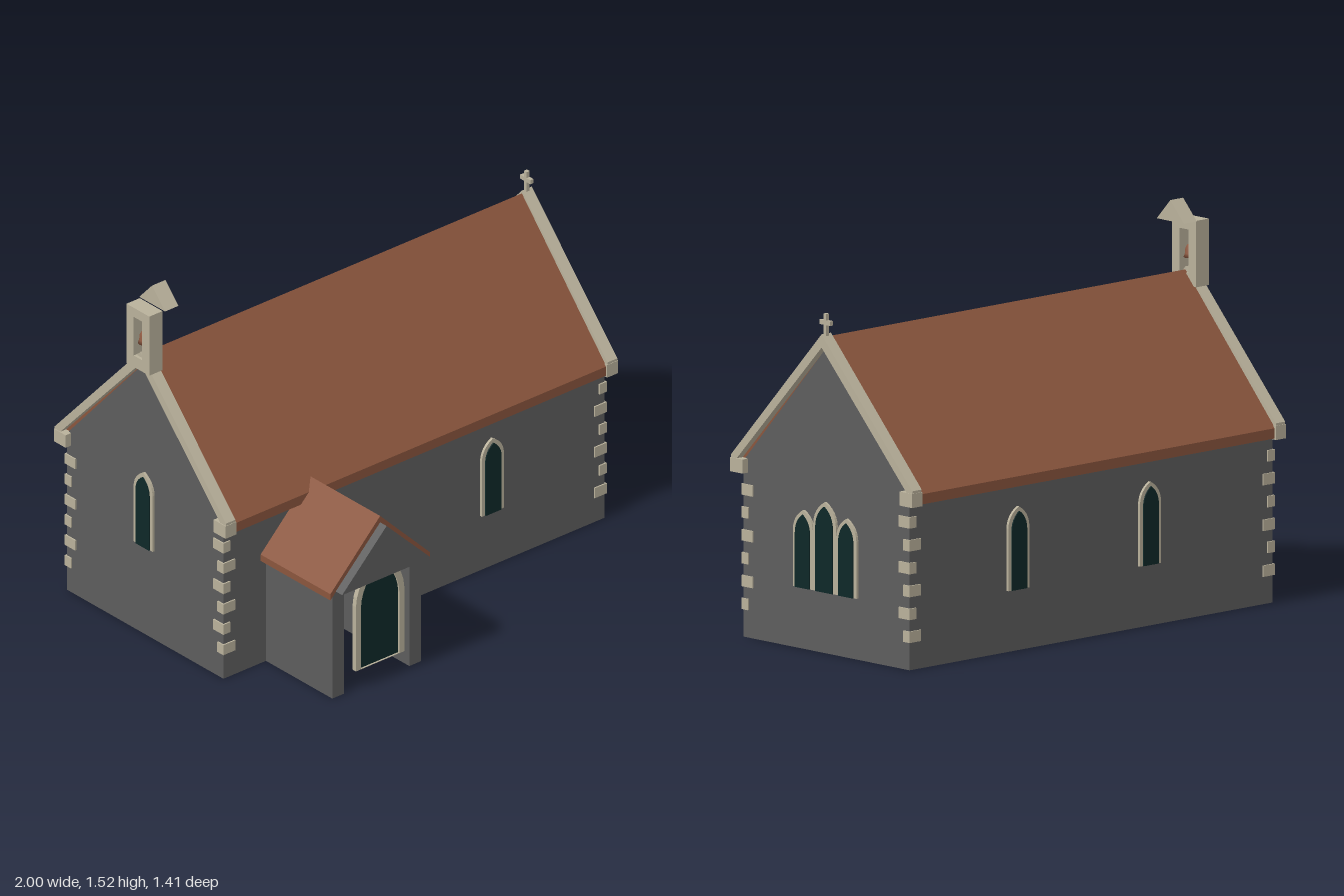
import * as THREE from 'three';

const mat = (name, color) => {
  const m = new THREE.MeshStandardMaterial({ color });
  m.name = name;
  return m;
};

export function createModel() {
  const root = new THREE.Group();
  root.name = 'chapel';
  const wall = mat('grey wall', 0x5d5d5d);
  const tile = mat('roof tile', 0x8a553d);
  const stone = mat('pale stone', 0xb9b19b);
  const glass = mat('dark glass', 0x0e2828);
  const copper = mat('bell copper', 0x8f5a42);

  const add = (name, geo, material, parent = root) => {
    const mesh = new THREE.Mesh(geo, material);
    mesh.name = name;
    parent.add(mesh);
    return mesh;
  };
  // Box given by its limits on each axis
  const box = (name, material, x0, x1, y0, y1, z0, z1, parent = root) => {
    const b = add(name, new THREE.BoxGeometry(x1 - x0, y1 - y0, z1 - z0), material, parent);
    b.position.set((x0 + x1) / 2, (y0 + y1) / 2, (z0 + z1) / 2);
    return b;
  };
  const polygon = (pts) => new THREE.Shape(pts.map(([x, y]) => new THREE.Vector2(x, y)));
  const extrude = (shape, depth) =>
    new THREE.ExtrudeGeometry(shape, { depth, bevelEnabled: false, curveSegments: 6 });
  const CZ = -0.2;
  // Symmetric profile across the nave, run from x0 to x1
  const alongX = (name, shape, material, x0, x1) => {
    const m = add(name, extrude(shape, x1 - x0).rotateY(Math.PI / 2), material);
    m.position.set(x0, 0, CZ);
    return m;
  };
  // Bent slab: apex and eave on top, eave and apex underneath
  const chevron = (half, top, eave, eaveLow, topLow) => polygon([
    [0, top], [-half, eave], [-half, eaveLow], [0, topLow], [half, eaveLow], [half, eave],
  ]);

  // Nave walls and roof
  alongX('naveWalls', polygon([[-0.46, 0], [0.46, 0], [0.46, 0.69], [0, 1.197], [-0.46, 0.69]]),
    wall, -0.96, 0.97);
  alongX('naveRoof', chevron(0.497, 1.24, 0.69, 0.65, 1.198), tile, -0.955, 0.965);

  // Gable copings with kneeler stones
  for (const [x0, x1] of [[-0.985, -0.937], [0.947, 0.997]]) {
    alongX('gableCoping', chevron(0.503, 1.252, 0.71, 0.665, 1.2), stone, x0, x1);
    for (const s of [-1, 1]) {
      const z = CZ + s * 0.47;
      box('kneeler', stone, x0 - 0.003, x1 + 0.003, 0.645, 0.7, z - 0.035, z + 0.035);
    }
  }

  // Corner quoins, alternating long and short on each face
  for (const [cx, sx] of [[-0.96, -1], [0.97, 1]]) {
    for (const sz of [-1, 1]) {
      for (let i = 0; i < 6; i++) {
        const y = 0.13 + i * 0.0895;
        const lx = i % 2 ? 0.03 : 0.055;
        const lz = i % 2 ? 0.055 : 0.03;
        const cz = CZ + sz * 0.46;
        const xs = [cx + sx * 0.006, cx - sx * lx].sort((a, b) => a - b);
        const zs = [cz + sz * 0.006, cz - sz * lz].sort((a, b) => a - b);
        box('quoin', stone, xs[0], xs[1], y - 0.022, y + 0.022, zs[0], zs[1]);
      }
    }
  }

  // Pointed-arch outline standing on y = 0
  const arch = (w, h, rise, ShapeType = THREE.Shape) => {
    const s = new ShapeType();
    const r = w / 2;
    const spring = h - rise;
    s.moveTo(-r, 0);
    s.lineTo(r, 0);
    s.lineTo(r, spring);
    s.quadraticCurveTo(r * 0.95, spring + rise * 0.65, 0, h);
    s.quadraticCurveTo(-r * 0.95, spring + rise * 0.65, -r, spring);
    s.closePath();
    return s;
  };
  // Arched opening facing +z: surround on three sides and a filled pane
  const opening = (name, w, h, border, frameDepth, paneZ, x, y, z, turn = 0) => {
    const g = new THREE.Group();
    g.name = name;
    const rise = w * 0.72;
    const frame = arch(w, h, rise);
    const hole = arch(w - 2 * border, h - border * 1.1, rise - border * 0.5, THREE.Path);
    // Keep a hairline sill so that the opening stays a closed hole
    const lifted = new THREE.Path(hole.getPoints(6).map((p) => new THREE.Vector2(p.x, Math.max(p.y, 0.002))));
    frame.holes.push(lifted);
    add('surround', extrude(frame, frameDepth), stone, g);
    const pane = add('pane', extrude(arch(w - 2 * border, h - border * 1.1, rise - border * 0.5), 0.009), glass, g);
    pane.position.z = paneZ;
    g.position.set(x, y, z);
    g.rotation.y = turn;
    root.add(g);
  };
  const lancet = (x, y, z, turn, w = 0.112, h = 0.325) =>
    opening('lancetWindow', w, h, 0.016, 0.011, 0.007, x, y, z, turn);

  // Side windows, west window and the triple east window
  lancet(0.395, 0.24, 0.26, 0);
  for (const x of [0.4, -0.3]) lancet(x, 0.24, -0.66, Math.PI);
  lancet(-0.96, 0.39, CZ, -Math.PI / 2);
  for (const s of [-1, 1]) lancet(0.97, 0.24, CZ + s * 0.12, Math.PI / 2, 0.112, 0.305);
  lancet(0.97, 0.24, CZ, Math.PI / 2, 0.126, 0.353);

  // Porch: two side walls, gable, roof and arched door
  const PX = -0.52;
  for (const s of [-1, 1]) {
    const x = PX + s * 0.195;
    box('porchWall', wall, x - 0.03, x + 0.03, 0, 0.485, 0.255, 0.65);
  }
  const gable = add('porchGable', extrude(polygon([[-0.225, 0.48], [0.225, 0.48], [0, 0.702]]), 0.06), wall);
  gable.position.set(PX, 0, 0.648);
  const porchRoof = add('porchRoof', extrude(chevron(0.252, 0.73, 0.478, 0.45, 0.701), 0.42), tile);
  porchRoof.position.set(PX, 0, 0.25);
  opening('porchDoor', 0.245, 0.46, 0.025, 0.02, 0.004, PX, 0.09, 0.65);

  // Bellcote: pierced stone upright, bell and gabled cap
  const cote = polygon([[-0.067, 1.18], [0.067, 1.18], [0.067, 1.44], [-0.067, 1.44]]);
  cote.holes.push(new THREE.Path([[-0.025, 1.23], [-0.025, 1.4], [0.025, 1.4], [0.025, 1.23]]
    .map(([x, y]) => new THREE.Vector2(x, y))));
  alongX('bellcote', cote, stone, -0.997, -0.93);
  alongX('bellcoteCap', polygon([[-0.076, 1.44], [0.076, 1.44], [0, 1.522]]), stone, -0.925, -0.857);
  const bellProfile = [[0, 1.338], [0.012, 1.334], [0.019, 1.322], [0.021, 1.3], [0.026, 1.285], [0, 1.285]]
    .map(([r, y]) => new THREE.Vector2(r, y)).reverse();
  add('bell', new THREE.LatheGeometry(bellProfile, 16), copper).position.set(-0.963, 0, CZ);

  // Gable cross
  box('crossUpright', stone, 0.964, 0.98, 1.235, 1.33, CZ - 0.008, CZ + 0.008);
  box('crossArm', stone, 0.964, 0.98, 1.286, 1.304, CZ - 0.03, CZ + 0.03);

  return root;
}
